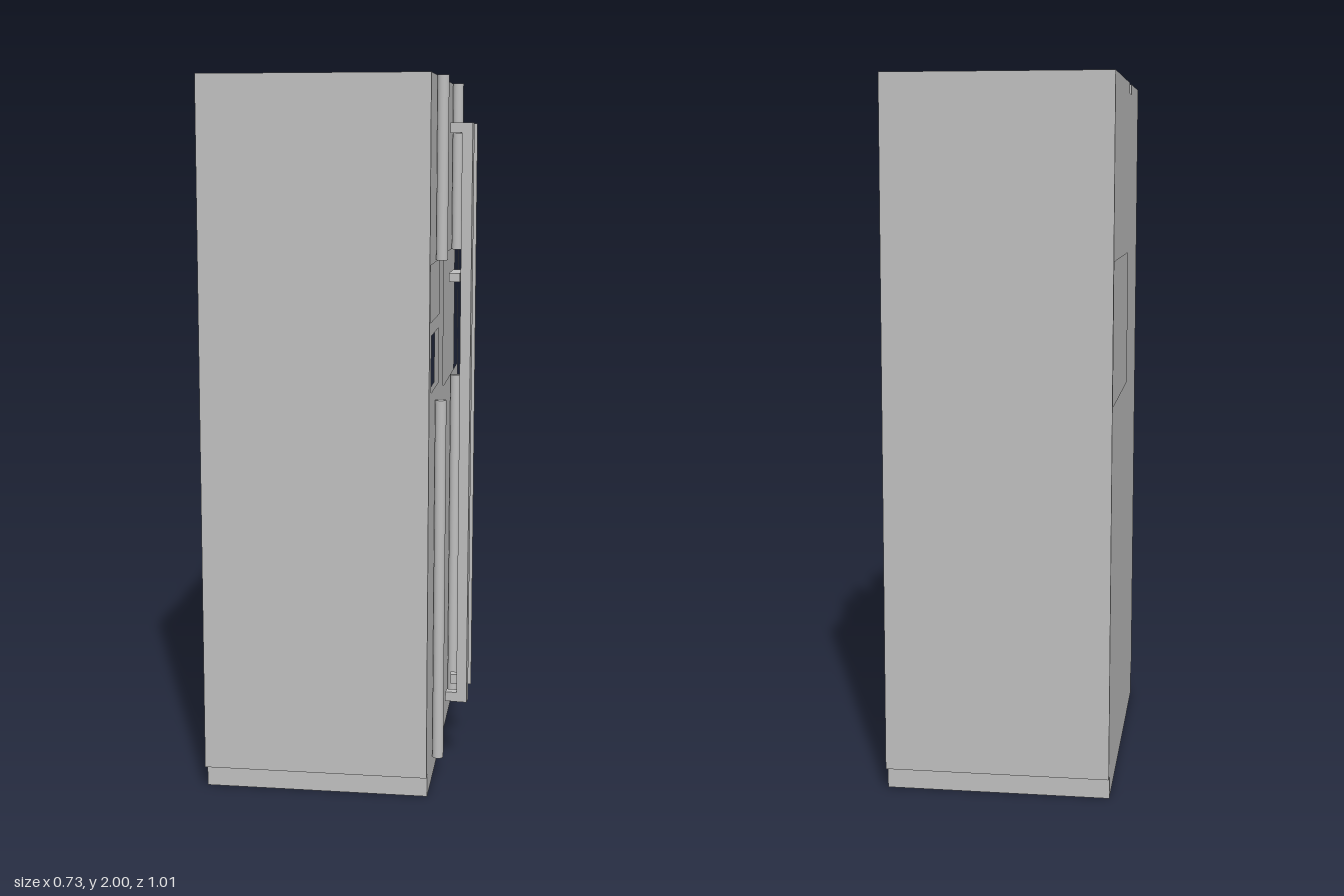
import * as THREE from 'three';

export function createModel() {
  const model = new THREE.Group();
  const grey = new THREE.MeshStandardMaterial({ color: 0xc0c0c0 });

  const add = (name, geometry, x = 0, y = 0, z = 0, parent = model) => {
    const mesh = new THREE.Mesh(geometry, grey);
    mesh.name = name;
    mesh.position.set(x, y, z);
    parent.add(mesh);
    return mesh;
  };

  // Cabinet outline in z and y: plinth notches below, door gap on top.
  // Shapes are drawn in -z so that a quarter turn extrudes them along +x.
  const outline = [
    [0.475, 0], [0.475, 0.065], [0.505, 0.065], [0.505, 2], [0.161, 2], [0.161, 1.97],
    [0.095, 1.97], [0.095, 2], [-0.505, 2], [-0.505, 0.065], [-0.475, 0.065], [-0.475, 0],
  ];
  const toPoints = (list) => list.map(([z, y]) => new THREE.Vector2(-z, y));
  const rect = (z0, z1, y0, y1) =>
    new THREE.Path(toPoints([[z0, y0], [z1, y0], [z1, y1], [z0, y1]]));

  const hatch = rect(-0.488, 0.065, 1.11, 1.5);
  const controls = rect(0.223, 0.483, 1.34, 1.495);
  const dispenser = rect(0.223, 0.449, 1.145, 1.302);

  // Cabinet slices from back to front, each with the recesses that pass through it
  const back = -0.365, front = 0.267, inset = 0.012, alcove = 0.12;
  const slices = [
    ['backPanel', back, back + inset, [hatch]],
    ['cabinet', back + inset, front - alcove, []],
    ['dispenserLayer', front - alcove, front - inset, [dispenser]],
    ['doorFace', front - inset, front, [hatch, controls, dispenser]],
  ];
  for (const [name, x0, x1, holes] of slices) {
    const shape = new THREE.Shape(toPoints(outline));
    shape.holes.push(...holes);
    const geometry = new THREE.ExtrudeGeometry(shape, { depth: x1 - x0, bevelEnabled: false });
    geometry.rotateY(Math.PI / 2);
    add(name, geometry, x0);
  }

  // Round trim rods, broken around the hatch and the dispenser
  for (const z of [0.333, -0.206]) {
    for (const [y0, y1] of [[0.065, 1.11], [1.5, 2]]) {
      add('trimRod', new THREE.CylinderGeometry(0.016, 0.016, y1 - y0, 24), 0.284, (y0 + y1) / 2, z);
    }
  }

  // Small grip on the hatch
  add('hatchGrip', new THREE.BoxGeometry(0.033, 0.026, 0.156), 0.2835, 1.418, -0.207);

  // Tall door handles, each a bar with two end stubs, turned slightly
  for (const [z, turn] of [[0.044, 0.06], [0.21, -0.1]]) {
    const handle = new THREE.Group();
    handle.name = 'doorHandle';
    handle.position.set(0.328, 1.035, z);
    handle.rotation.y = turn;
    add('handleBar', new THREE.BoxGeometry(0.03, 1.68, 0.028), 0.0165, 0, 0, handle);
    for (const side of [-1, 1]) {
      add('handleStub', new THREE.BoxGeometry(0.033, 0.028, 0.028), -0.015, side * 0.826, 0, handle);
    }
    model.add(handle);
  }

  return model;
}
